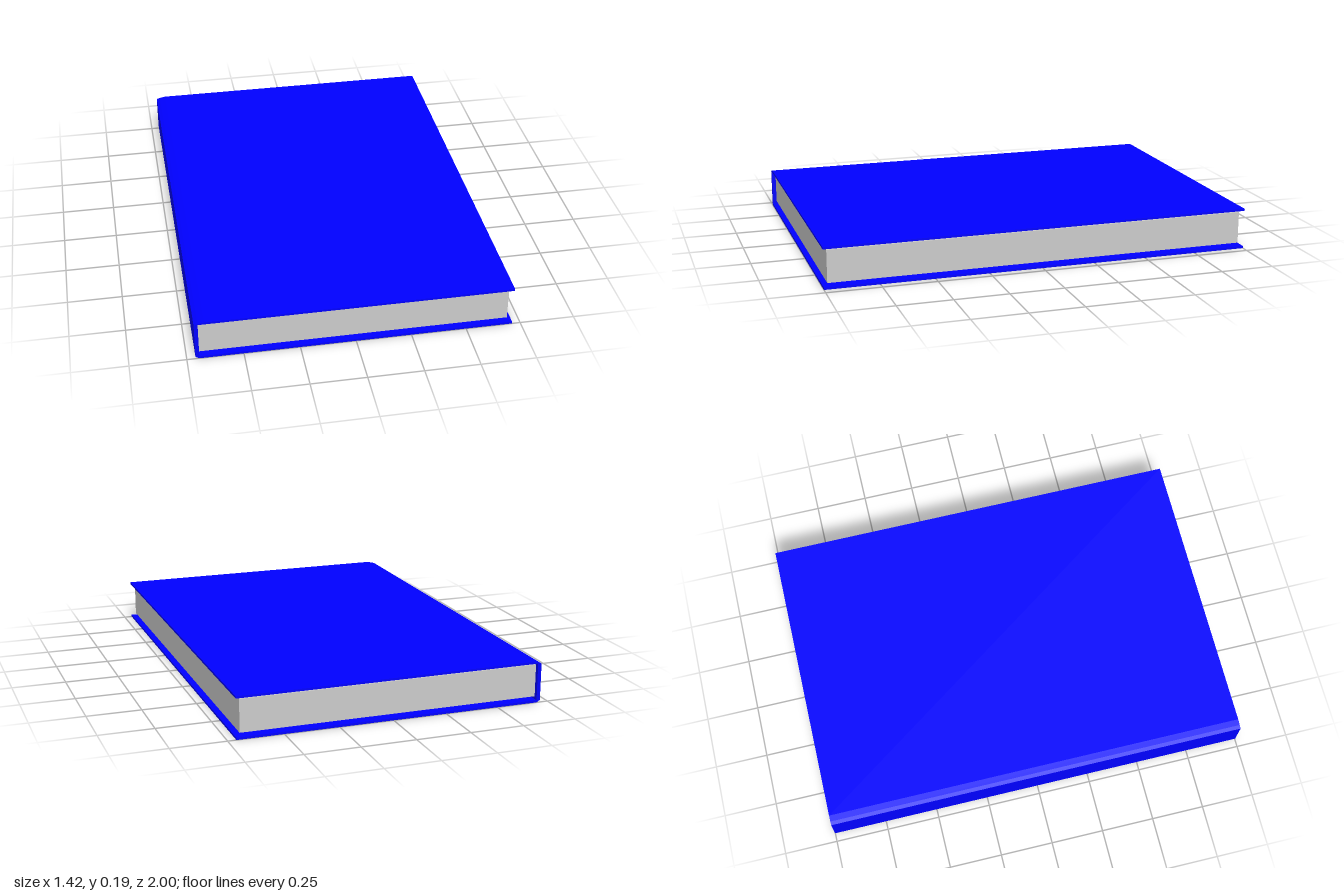
import * as THREE from 'three';

export function createModel() {
  const book = new THREE.Group();
  book.name = 'book';

  // Cover: one folded U-shaped profile, spine on the right (-x), run along the depth
  const profile = new THREE.Shape([
    [0.712, 0], [0.712, 0.01], [-0.695, 0.01], [-0.695, 0.183],
    [0.712, 0.183], [0.712, 0.193], [-0.667, 0.193], [-0.695, 0.188],
    [-0.712, 0.182], [-0.712, 0.01], [-0.695, 0],
  ].map(([x, y]) => new THREE.Vector2(x, y)));
  const coverGeometry = new THREE.ExtrudeGeometry(profile, { depth: 2, bevelEnabled: false });
  coverGeometry.translate(0, 0, -1);
  const cover = new THREE.Mesh(
    coverGeometry,
    new THREE.MeshStandardMaterial({ color: 0x0000ff, flatShading: true }),
  );
  cover.name = 'cover';
  book.add(cover);

  // Page block, set in from the cover edges with a thin gap above and below
  const pages = new THREE.Mesh(
    new THREE.BoxGeometry(1.388, 0.15, 1.962),
    new THREE.MeshStandardMaterial({ color: 0xcccccc, flatShading: true }),
  );
  pages.name = 'pages';
  pages.position.set(-0.002, 0.098, 0);
  book.add(pages);

  return book;
}
